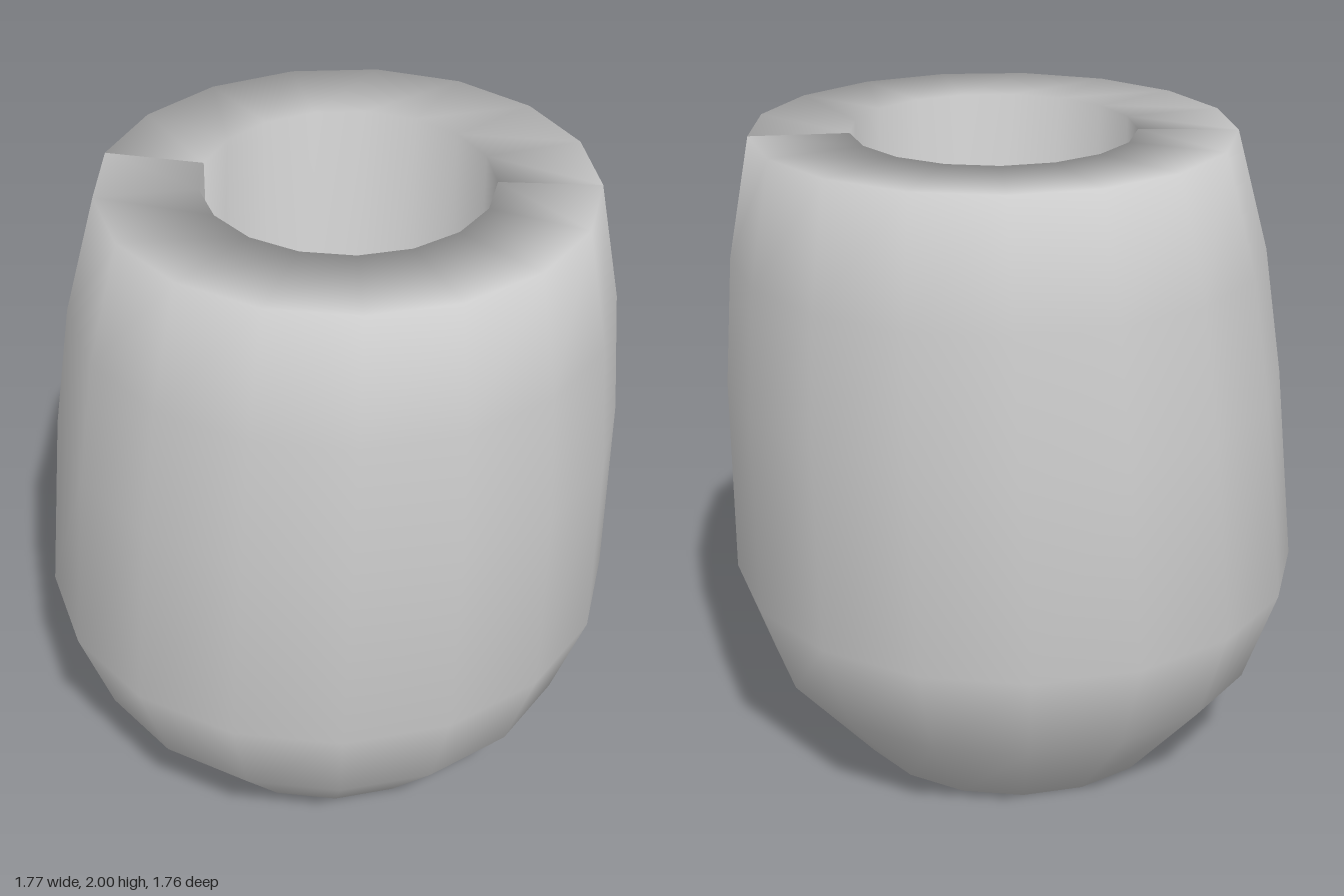
import * as THREE from 'three';

const SIDES = 17;

// Rings from the base centre, up the outside, over the rim, down into the cavity:
// [y, radius, centre x, centre z]
const RINGS = [
  [0, 0, 0, 0],
  [0, 0.52, 0, 0],
  [0.31, 0.785, 0, 0],
  [0.61, 0.89, 0, 0],
  [1.23, 0.86, 0.03, 0.01],
  [1.63, 0.815, 0.045, 0.01],
  [2, 0.73, 0.06, 0.01],
  [2, 0.43, 0.06, 0.005],
  [0.6, 0.43, 0.06, 0.005],
  [0.6, 0, 0.06, 0.005],
];

// Skins the rings between two side numbers, counted from the back vertex
function wallSection(first, last) {
  const positions = [];
  const indices = [];
  const columns = last - first + 1;
  RINGS.forEach(([y, r, cx, cz], i) => {
    for (let k = 0; k < columns; k++) {
      const angle = ((first + k) / SIDES) * Math.PI * 2;
      positions.push(cx + r * Math.sin(angle), y, cz - r * Math.cos(angle));
      if (i === RINGS.length - 1 || k === columns - 1) continue;
      const a = i * columns + k;
      const b = a + 1;
      const d = a + columns;
      const c = d + 1;
      if (r > 0) indices.push(b, a, d);
      if (RINGS[i + 1][1] > 0) indices.push(b, d, c);
    }
  });
  const geometry = new THREE.BufferGeometry();
  geometry.setAttribute('position', new THREE.Float32BufferAttribute(positions, 3));
  geometry.setIndex(indices);
  geometry.computeVertexNormals();
  return geometry;
}

export function createModel() {
  const group = new THREE.Group();
  group.name = 'cup';
  const material = new THREE.MeshStandardMaterial({ color: 0xcccccc, side: THREE.DoubleSide });

  // Two separately smoothed halves leave a soft seam down each side
  for (const [name, first, last] of [['backHalf', -4, 4], ['frontHalf', 4, 13]]) {
    const half = new THREE.Mesh(wallSection(first, last), material);
    half.name = name;
    group.add(half);
  }
  return group;
}
